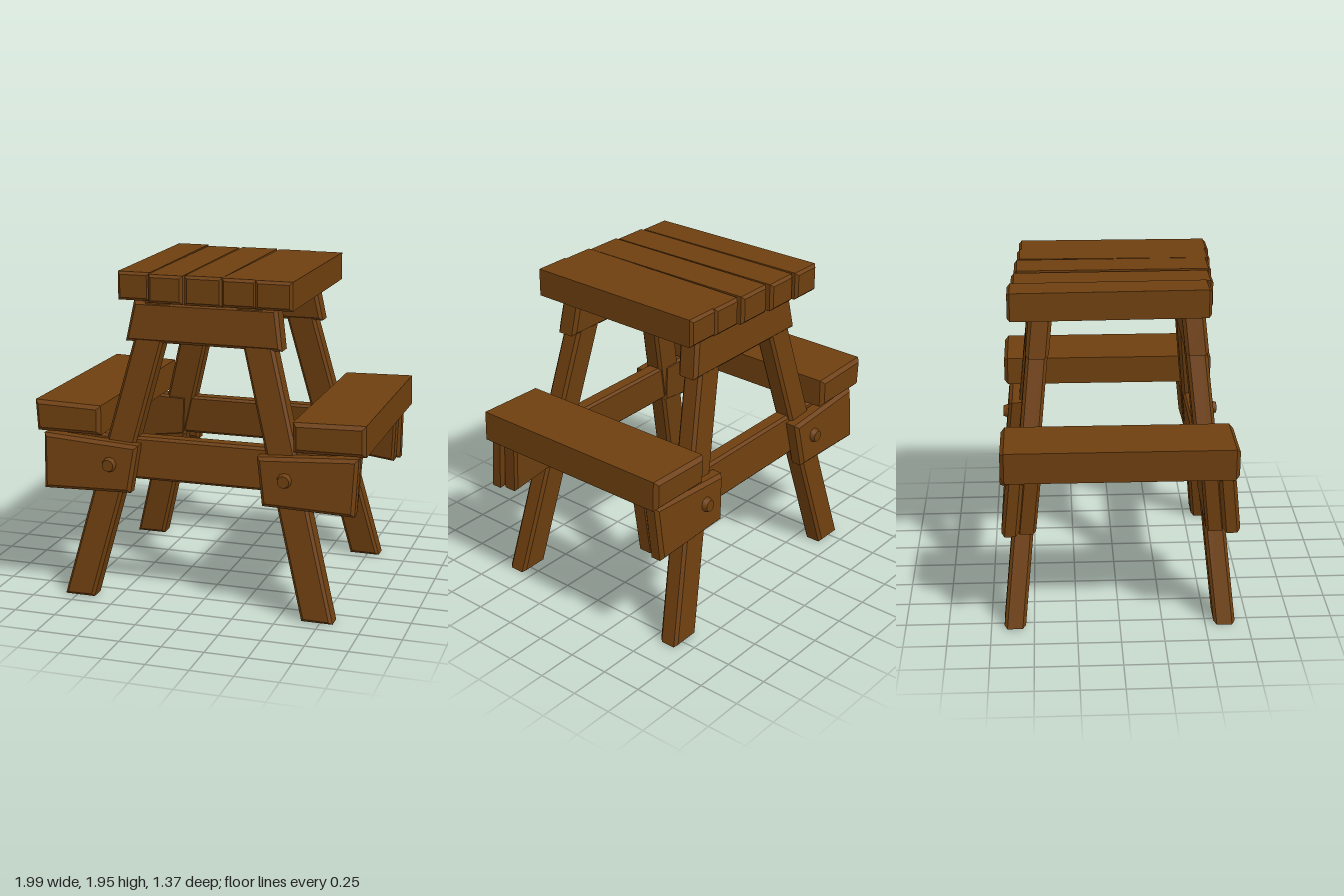
import * as THREE from 'three';
import { toCreasedNormals } from 'three/addons/utils/BufferGeometryUtils.js';

const wood = new THREE.MeshStandardMaterial({ color: 0x6e3f0f });
wood.name = 'brown wood';

// Bevelled board: an x-y outline run from z0 to z1.
// lean shifts z with height, skew shifts x along z.
function board(name, outline, z0, z1, { bevel = 0.015, lean = 0, skew = 0 } = {}) {
  const shape = new THREE.Shape(outline.map(([x, y]) => new THREE.Vector2(x, y)));
  const geo = new THREE.ExtrudeGeometry(shape, {
    depth: z1 - z0 - 2 * bevel, bevelEnabled: true, bevelSegments: 1,
    bevelSize: bevel, bevelOffset: -bevel, bevelThickness: bevel,
  });
  geo.translate(0, 0, z0 + bevel);
  const p = geo.attributes.position;
  for (let i = 0; i < p.count; i++) {
    const y = p.getY(i), z = p.getZ(i);
    p.setX(i, p.getX(i) + skew * z);
    p.setZ(i, z + lean * y);
  }
  const mesh = new THREE.Mesh(toCreasedNormals(geo, 0.6), wood);
  mesh.name = name;
  return mesh;
}

const rect = (x0, x1, y0, y1) => [[x0, y0], [x1, y0], [x1, y1], [x0, y1]];

// One A-shaped end: legs, upper beam, seat beam, cover blocks and bolts
function endFrame(name) {
  const g = new THREE.Group();
  g.name = name;
  const lean = -0.1;
  for (const s of [-1, 1]) {
    const side = s < 0 ? 'right' : 'left';
    const flip = pts => (s > 0 ? pts : pts.map(([x, y]) => [-x, y]).reverse());
    g.add(board(side + 'Leg', flip([[0.64, 0], [0.825, 0], [0.36, 1.79], [0.18, 1.79]]),
      0.55, 0.675, { lean, bevel: 0.018 }));
    // Cover block outside the leg
    g.add(board(side + 'Block', flip([[0.4, 0.67], [0.94, 0.655], [0.95, 0.985], [0.36, 0.95]]),
      0.64, 0.74, { lean, bevel: 0.02 }));
    // Lower end of the seat beam
    g.add(board(side + 'BeamEnd', flip([[0.46, 0.72], [0.92, 0.66], [0.94, 1.0], [0.44, 0.98]]),
      0.545, 0.65, { lean }));
    const bolt = new THREE.Mesh(new THREE.CylinderGeometry(0.035, 0.048, 0.04, 10), wood);
    bolt.name = side + 'Bolt';
    bolt.rotation.x = Math.PI / 2;
    bolt.position.set(s * 0.53, 0.83, 0.665);
    g.add(bolt);
  }
  g.add(board('seatBeam', rect(-0.56, 0.56, 0.735, 0.985), 0.555, 0.655, { lean }));
  g.add(board('upperBeam', [[-0.47, 1.545], [0.47, 1.54], [0.435, 1.78], [-0.425, 1.78]],
    0.545, 0.68, { lean, bevel: 0.02 }));
  return g;
}

export function createModel() {
  const model = new THREE.Group();
  model.name = 'picnicTable';

  const front = endFrame('frontFrame');
  const back = endFrame('backFrame');
  back.rotation.y = Math.PI;
  model.add(front, back);

  // Tabletop planks: x0, x1, y0, y1, z0, z1, skew
  const planks = [
    [-0.52, -0.325, 1.785, 1.95, -0.62, 0.53, 0.02],
    [-0.322, -0.115, 1.78, 1.945, -0.6, 0.555, 0.012],
    [-0.095, 0.13, 1.78, 1.95, -0.585, 0.565, 0.004],
    [0.14, 0.345, 1.785, 1.95, -0.57, 0.58, -0.012],
    [0.335, 0.55, 1.785, 1.95, -0.56, 0.59, -0.004],
  ];
  planks.forEach(([x0, x1, y0, y1, z0, z1, skew], i) => {
    model.add(board('topPlank' + (i + 1), rect(x0, x1, y0, y1), z0, z1, { skew, bevel: 0.016 }));
  });

  // Bench seats
  model.add(board('rightSeat', [[-0.985, 1.0], [-0.585, 1.0], [-0.585, 1.175], [-0.995, 1.185]],
    -0.67, 0.655, { bevel: 0.022 }));
  model.add(board('leftSeat', [[0.575, 0.995], [0.995, 1.0], [0.99, 1.18], [0.57, 1.17]],
    -0.675, 0.65, { bevel: 0.022 }));

  return model;
}
